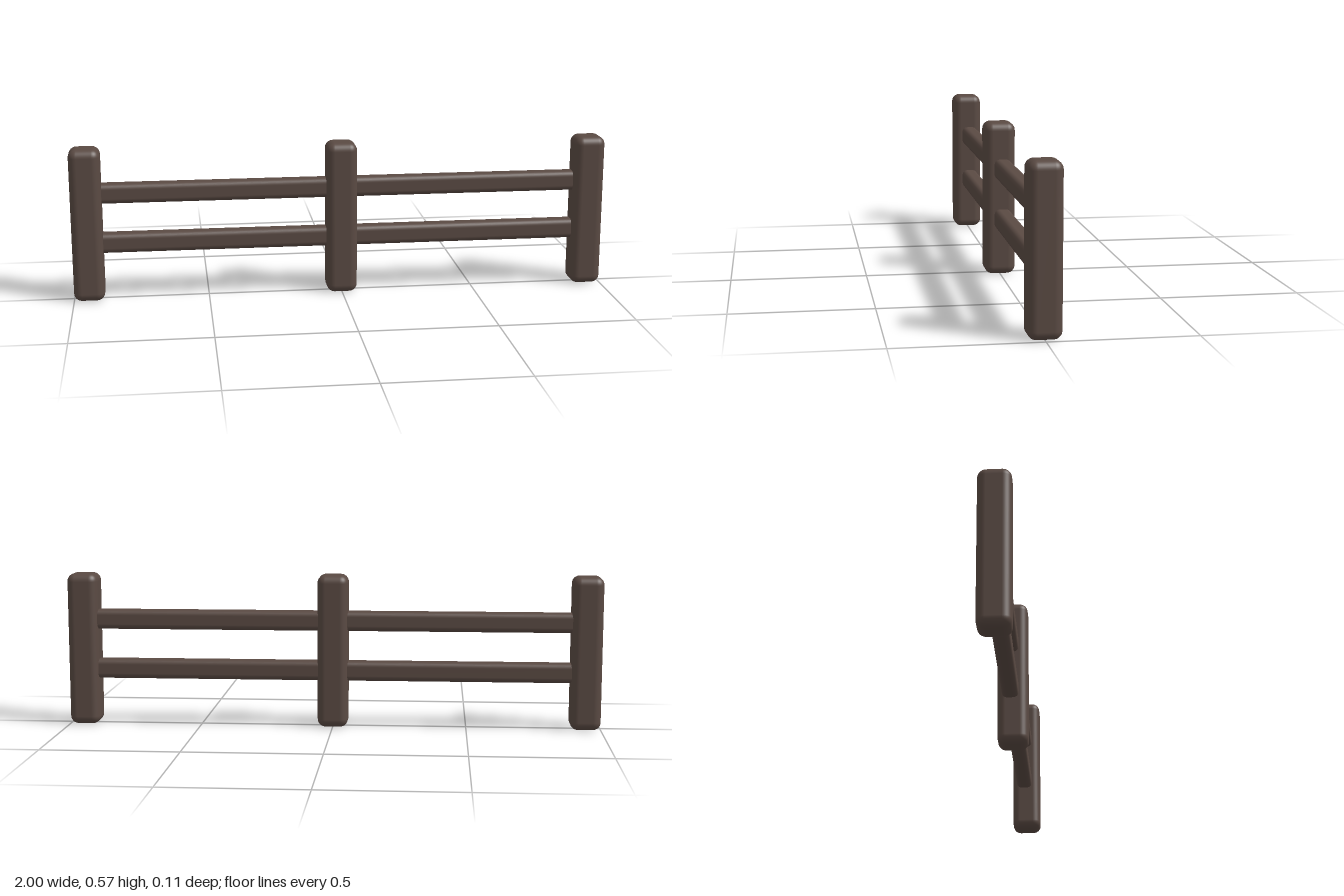
import * as THREE from 'three';
import { RoundedBoxGeometry } from 'three/addons/geometries/RoundedBoxGeometry.js';

const POST = { width: 0.114, height: 0.573, radius: 0.03 };
const RAIL = { height: 0.074, depth: 0.062, radius: 0.02, z: -0.008 };

export function createModel() {
  const fence = new THREE.Group();
  fence.name = 'fence';
  const wood = new THREE.MeshStandardMaterial({ color: 0x5a4a43 });
  wood.name = 'dark brown wood';

  const add = (name, geometry, x, y, z) => {
    const mesh = new THREE.Mesh(geometry, wood);
    mesh.name = name;
    mesh.position.set(x, y, z);
    fence.add(mesh);
  };

  // Three square posts with softly rounded edges
  const span = 1 - POST.width / 2;
  const postGeometry = new RoundedBoxGeometry(POST.width, POST.height, POST.width, 5, POST.radius);
  for (const [name, side] of [['rightPost', -1], ['middlePost', 0], ['leftPost', 1]]) {
    add(name, postGeometry, side * span, POST.height / 2, 0);
  }

  // Two rails in each bay, ending inside the posts and set slightly back
  const railGeometry = new RoundedBoxGeometry(span, RAIL.height, RAIL.depth, 4, RAIL.radius);
  for (const [bay, side] of [['right', -1], ['left', 1]]) {
    for (const [level, y] of [['Lower', 0.212], ['Upper', 0.4]]) {
      add(`${bay}${level}Rail`, railGeometry, side * span / 2, y, RAIL.z);
    }
  }
  return fence;
}
